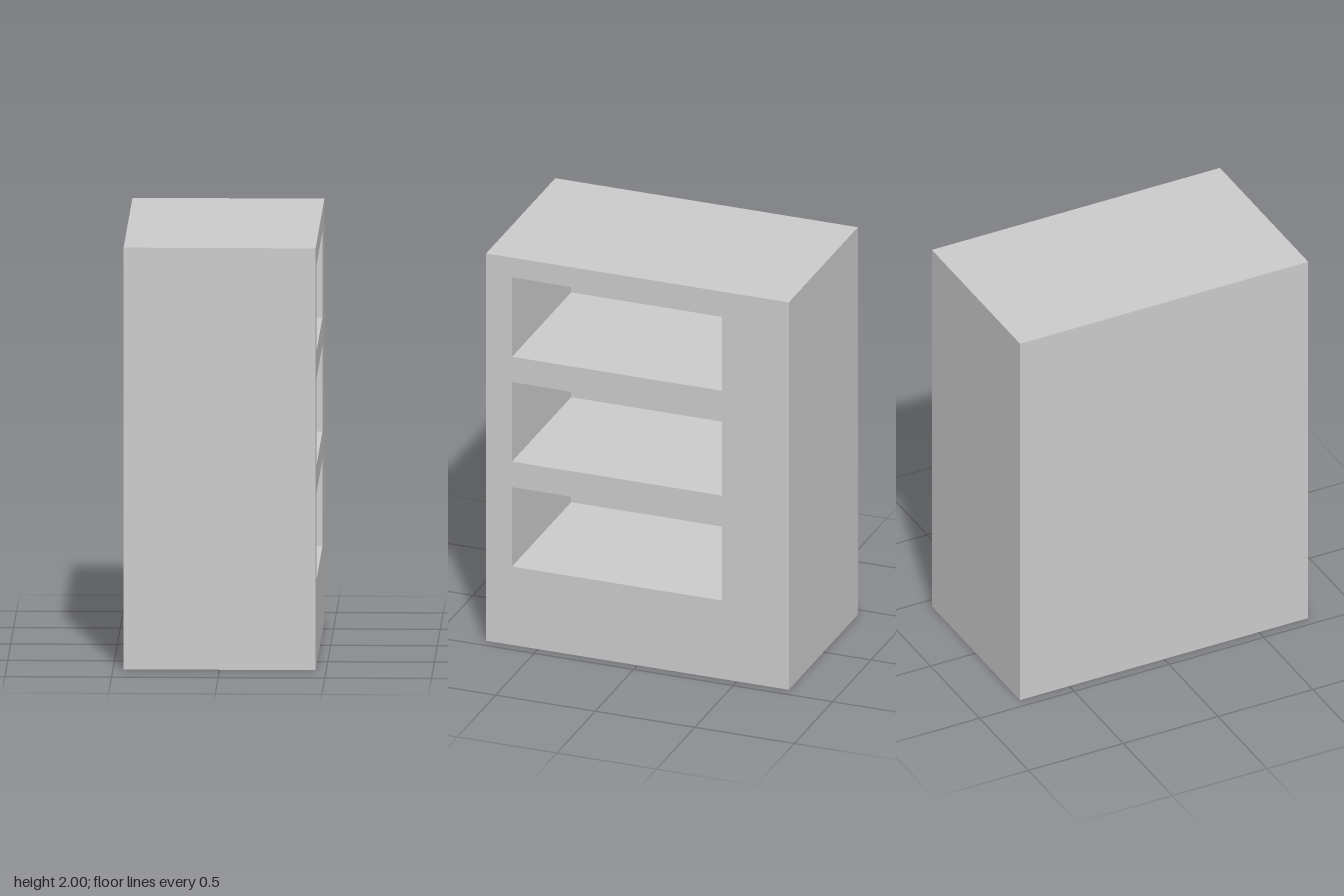
import * as THREE from 'three';

const W = 0.9, H = 2, D = 1.52;           // overall cabinet size
const POCKET = { depth: 0.77, height: 0.41, zBack: -0.425, zFront: 0.63 };
const POCKET_FLOORS = [0.405, 0.947, 1.488];

const material = new THREE.MeshStandardMaterial({ color: 0xcccccc });

function addMesh(group, name, geometry) {
  const mesh = new THREE.Mesh(geometry, material);
  mesh.name = name;
  group.add(mesh);
  return mesh;
}

// Box without one of its six faces (order: +x, -x, +y, -y, +z, -z)
function openBox(w, h, d, face) {
  const box = new THREE.BoxGeometry(w, h, d);
  const index = Array.from(box.index.array);
  index.splice(face * 6, 6);
  box.setIndex(index);
  box.clearGroups();
  return box;
}

function rectangle(path, x0, y0, x1, y1) {
  path.moveTo(x0, y0).lineTo(x1, y0).lineTo(x1, y1).lineTo(x0, y1).closePath();
  return path;
}

export function createModel() {
  const cabinet = new THREE.Group();
  cabinet.name = 'cabinet';

  // Outer body, open on the +x side
  addMesh(cabinet, 'body', openBox(W, H, D, 0)).position.y = H / 2;

  // Face on the +x side with the shelf openings; shape x runs along -z
  const face = rectangle(new THREE.Shape(), -D / 2, 0, D / 2, H);
  for (const y of POCKET_FLOORS) {
    face.holes.push(rectangle(new THREE.Path(), -POCKET.zFront, y, -POCKET.zBack, y + POCKET.height));
  }
  const faceGeometry = new THREE.ShapeGeometry(face).rotateY(Math.PI / 2).translate(W / 2, 0, 0);
  addMesh(cabinet, 'shelfFace', faceGeometry);

  // Shelf recesses: mirrored open boxes, so that they face inwards
  for (const y of POCKET_FLOORS) {
    const recess = openBox(POCKET.depth, POCKET.height, POCKET.zFront - POCKET.zBack, 1);
    recess.scale(-1, 1, 1);
    recess.computeVertexNormals();
    addMesh(cabinet, 'shelfRecess', recess).position.set(
      W / 2 - POCKET.depth / 2, y + POCKET.height / 2, (POCKET.zFront + POCKET.zBack) / 2);
  }
  return cabinet;
}
